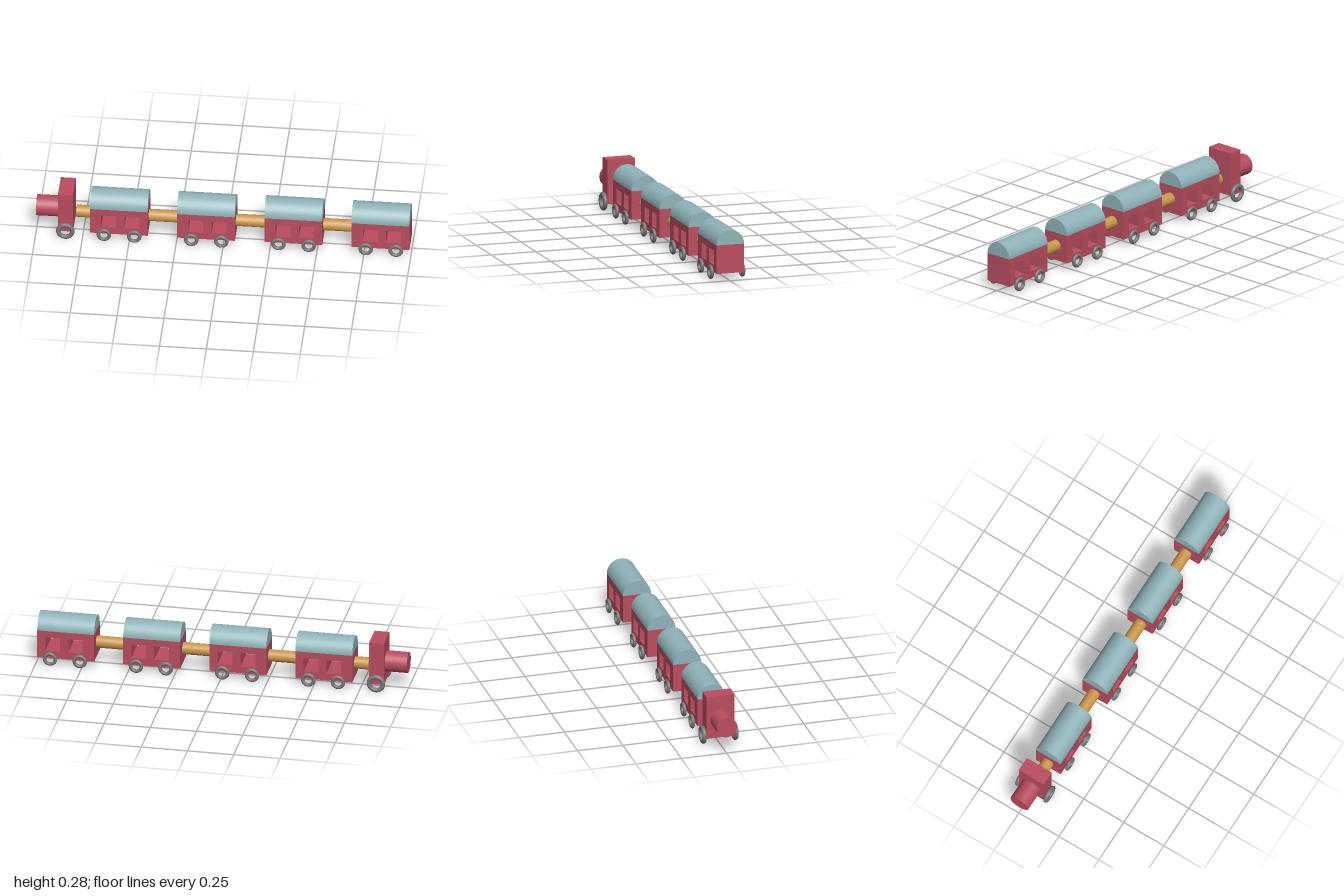
import * as THREE from 'three';

const mat = (color) => new THREE.MeshStandardMaterial({ color });
const red = mat(0xb84c5e), teal = mat(0x8fb3b8), gold = mat(0xc8964b), grey = mat(0x777777);

const WIDTH = 0.155, CAR_LENGTH = 0.308, PITCH = 0.4647, FIRST_CAR = -0.71;
const FLOOR = 0.04, EAVES = 0.195, WHEEL_Z = 0.088;

function add(parent, name, geometry, material, x = 0, y = 0, z = 0) {
  const mesh = new THREE.Mesh(geometry, material);
  mesh.name = name;
  mesh.position.set(x, y, z);
  parent.add(mesh);
  return mesh;
}

// Cylinder lying along x; an arc of PI keeps the upper half
const lyingCylinder = (radius, length, arc = Math.PI * 2) =>
  new THREE.CylinderGeometry(radius, radius, length, arc < 4 ? 24 : 32, 1, false, 0, arc).rotateZ(Math.PI / 2);

// Pair of ring wheels standing on the ground
function addWheels(parent, x, ring, tube) {
  for (const side of [1, -1]) {
    add(parent, side > 0 ? 'frontWheel' : 'backWheel',
      new THREE.TorusGeometry(ring, tube, 12, 32), grey, x, ring + tube, side * WHEEL_Z);
  }
}

function rectangle(PathType, x0, y0, x1, y1) {
  const path = new PathType();
  path.moveTo(x0, y0);
  path.lineTo(x1, y0);
  path.lineTo(x1, y1);
  path.lineTo(x0, y1);
  path.closePath();
  return path;
}

function createCar() {
  const car = new THREE.Group();

  // Body with two windows cut right through
  const side = rectangle(THREE.Shape, 0, FLOOR, CAR_LENGTH, EAVES);
  for (const x of [0.06, 0.184]) side.holes.push(rectangle(THREE.Path, x, 0.08, x + 0.08, 0.157));
  const body = new THREE.ExtrudeGeometry(side, { depth: WIDTH, bevelEnabled: false });
  add(car, 'carBody', body.translate(0, 0, -WIDTH / 2), red);

  // Half-round roof
  add(car, 'roof', lyingCylinder(WIDTH / 2, CAR_LENGTH, Math.PI), teal, CAR_LENGTH / 2, EAVES, 0);

  for (const x of [0.076, 0.237]) addWheels(car, x, 0.0295, 0.0095);
  return car;
}

function createEngine() {
  const engine = new THREE.Group();
  engine.name = 'engine';
  add(engine, 'cab', new THREE.BoxGeometry(0.08, 0.24, WIDTH), red, -0.84, 0.16, 0);
  add(engine, 'boiler', lyingCylinder(0.056, 0.12), red, -0.94, 0.147, 0);
  addWheels(engine, -0.84, 0.038, 0.012);
  return engine;
}

export function createModel() {
  const train = new THREE.Group();
  train.name = 'train';

  const engine = createEngine();
  engine.position.z = 0.0025;
  train.add(engine);

  for (let i = 0; i < 4; i++) {
    // The rear cars sit slightly out of line
    const z = i < 2 ? 0.0025 : -0.0045;
    const start = FIRST_CAR + i * PITCH;
    const car = createCar();
    car.name = `car${i + 1}`;
    car.position.set(start, 0, z);
    train.add(car);

    // Coupling rod ahead of each car
    const rodStart = i === 0 ? -0.788 : start - PITCH + CAR_LENGTH;
    add(train, 'couplingRod', lyingCylinder(0.0325, start - rodStart), gold,
      (start + rodStart) / 2, 0.1225, i < 3 ? 0.0025 : -0.0045);
  }
  return train;
}
